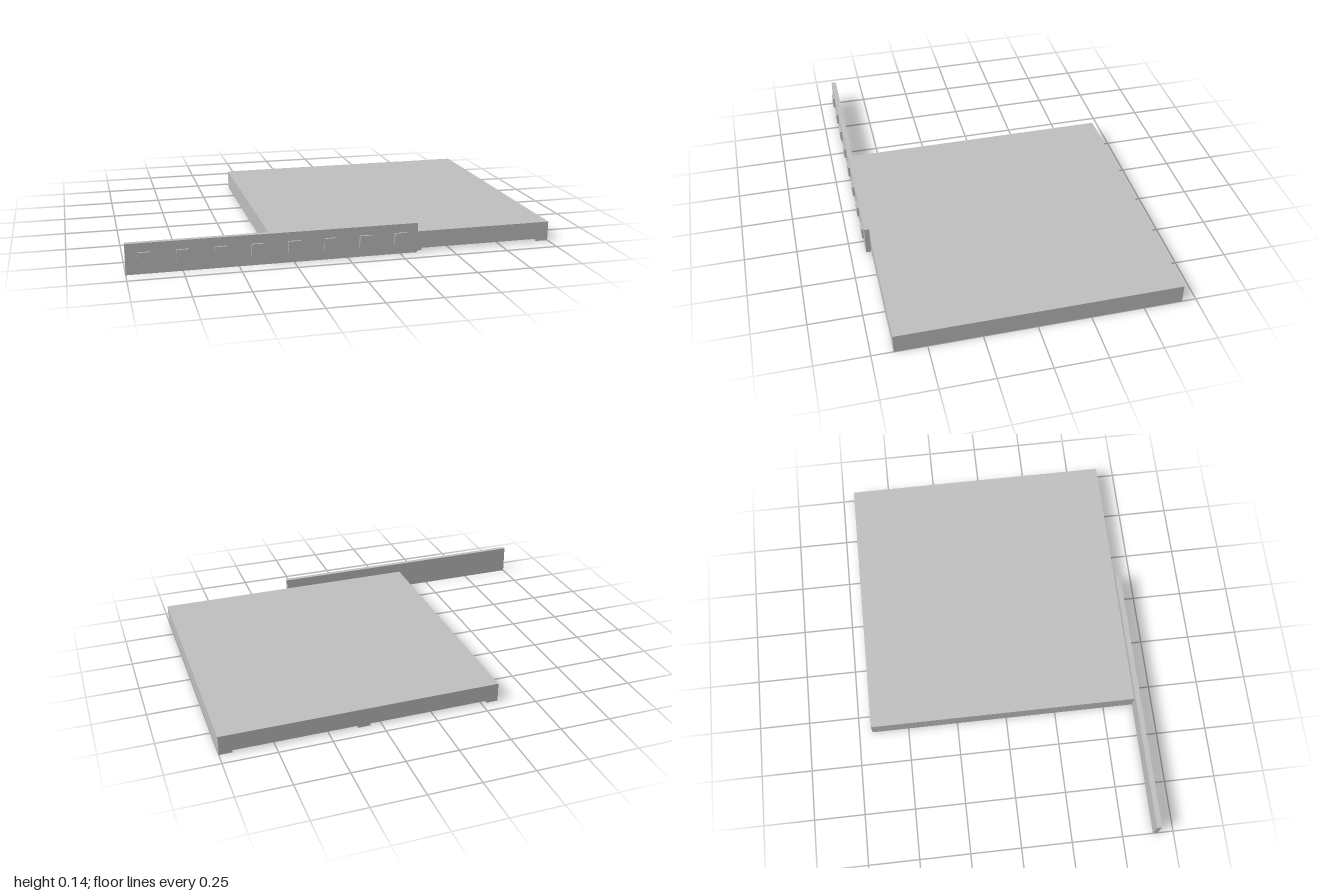
import * as THREE from 'three';

export function createModel() {
  const model = new THREE.Group();
  const grey = new THREE.MeshStandardMaterial({ color: 0xc0c0c0 });
  grey.name = 'light grey';

  // Box given by its minimum and maximum corners
  function box(name, [x0, y0, z0], [x1, y1, z1], parent) {
    const mesh = new THREE.Mesh(new THREE.BoxGeometry(x1 - x0, y1 - y0, z1 - z0), grey);
    mesh.position.set((x0 + x1) / 2, (y0 + y1) / 2, (z0 + z1) / 2);
    mesh.name = name;
    parent.add(mesh);
  }

  const size = 4 / 3, beam = 0.06;
  const left = 1 - size, back = -0.683, front = back + size;
  const top = 0.093, deckBottom = 0.05, crossBottom = 0.011;
  const step = (size - beam) / 2; // spacing of the underside beams

  // Square platform: deck with a grid of beams underneath
  const platform = new THREE.Group();
  platform.name = 'platform';
  model.add(platform);
  box('deck', [left, deckBottom, back], [1, top, front], platform);
  for (let i = 0; i < 3; i++) {
    const x = left + i * step;
    box('runner', [x, 0, back], [x + beam, deckBottom, front], platform);
  }
  for (let i = 0; i < 2; i++) {
    const x = left + beam + i * step;
    for (let j = 0; j < 3; j++) {
      const z = back + j * step;
      box('crossBeam', [x, crossBottom, z], [x + step - beam, deckBottom, z + beam], platform);
    }
    // Raised pads in the middle of each recess
    for (let j = 0; j < 2; j++) {
      const cx = x + (step - beam) / 2, cz = back + beam + j * step + (step - beam) / 2;
      box('pad', [cx - 0.12, 0.025, cz - 0.12], [cx + 0.12, deckBottom, cz + 0.12], platform);
    }
  }

  // Front rail, offset to the side, with a row of square studs
  const rail = new THREE.Group();
  rail.name = 'frontRail';
  model.add(rail);
  const railFront = front + 0.024;
  box('railPlate', [-1, 0, front], [-1 + size, 0.142, railFront], rail);
  for (let i = 0; i < 8; i++) {
    const x = -1 + (i + 0.5) * size / 8;
    box('stud', [x - 0.028, 0.045, railFront], [x + 0.028, 0.101, 0.683], rail);
  }
  return model;
}
